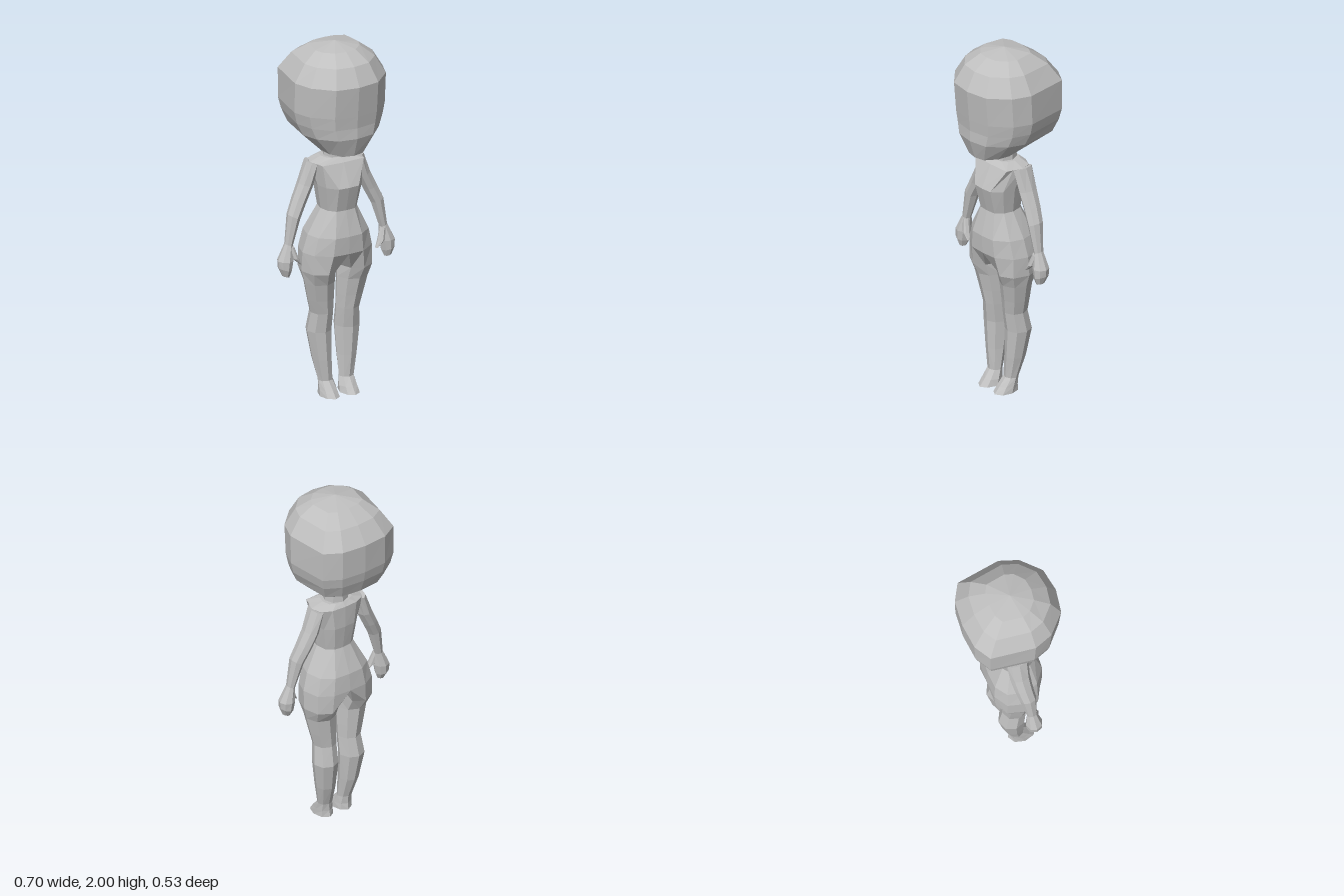
import * as THREE from 'three';

const clay = new THREE.MeshStandardMaterial({ color: 0xbfbfbf, flatShading: true });
clay.name = 'clayGrey';

// Skins a stack of equal-sized point rings and closes both ends with a fan.
function loft(name, rings, topY, bottomY) {
  const tris = [];
  const n = rings[0].length;
  for (let r = 0; r < rings.length - 1; r++) {
    for (let i = 0; i < n; i++) {
      const j = (i + 1) % n;
      const a = rings[r][i], b = rings[r][j], c = rings[r + 1][j], d = rings[r + 1][i];
      tris.push([a, d, b], [b, d, c]);
    }
  }
  const cap = (ring, y, flip) => {
    const mid = [0, 1, 2].map(k => ring.reduce((s, p) => s + p[k], 0) / n);
    if (y !== undefined) mid[1] = y;
    ring.forEach((p, i) => {
      const q = ring[(i + 1) % n];
      tris.push(flip ? [mid, q, p] : [mid, p, q]);
    });
  };
  cap(rings[0], topY, false);
  cap(rings[rings.length - 1], bottomY, true);

  // Turn all faces outward: the enclosed volume must be positive.
  let volume = 0;
  for (const [a, b, c] of tris) {
    volume += a[0] * (b[1] * c[2] - b[2] * c[1]) + a[1] * (b[2] * c[0] - b[0] * c[2])
      + a[2] * (b[0] * c[1] - b[1] * c[0]);
  }
  if (volume < 0) tris.forEach(t => t.reverse());
  const geometry = new THREE.BufferGeometry();
  geometry.setAttribute('position', new THREE.Float32BufferAttribute(tris.flat(2), 3));
  geometry.computeVertexNormals();
  const mesh = new THREE.Mesh(geometry, clay);
  mesh.name = name;
  return mesh;
}

// Completes a half ring (front centre, round the +x side, back centre).
const mirrorHalf = half => [...half, ...half.slice(1, -1).reverse().map(([x, y, z]) => [-x, y, z])];

const OCTAGON = [[-0.65, 0.72], [0, 1], [0.72, 0.7], [1, 0], [0.72, -0.7], [0, -1], [-0.65, -0.72], [-1, 0]];

// Half outline of the body: flat front panel, angled sides, broad back.
function bodyHalf([y, panel, front, width, back]) {
  const mid = (front + back) / 2, half = (front - back) / 2;
  return [
    [0, y, front], [panel, y, front - 0.005],
    [width * 0.87, y, mid + half * 0.55], [width, y, mid],
    [width * 0.87, y, mid - half * 0.65], [width * 0.5, y, back + 0.005], [0, y, back],
  ];
}

function makeHead() {
  const outline = [[0, 1], [0.48, 0.92], [0.86, 0.56], [1, 0.17], [0.87, -0.75], [0.52, -0.95], [0, -1]];
  // front height, back height, front z, back z, half width
  const rows = [
    [1.975, 1.975, 0.125, -0.115, 0.13],
    [1.92, 1.915, 0.212, -0.2, 0.205],
    [1.82, 1.82, 0.266, -0.268, 0.265],
    [1.65, 1.65, 0.25, -0.264, 0.265],
    [1.58, 1.59, 0.243, -0.252, 0.25],
    [1.52, 1.515, 0.245, -0.225, 0.22],
    [1.412, 1.435, 0.21, -0.11, 0.125],
  ];
  const rings = rows.map(([yf, yb, zf, zb, w]) => mirrorHalf(outline.map(([u, v]) => {
    const t = (v + 1) / 2;
    return [u * w, yb + (yf - yb) * t, zb + (zf - zb) * t];
  })));
  return loft('head', rings, 2.0, 1.43);
}

// height, front panel half width, front z, half width, back z
const TORSO = [
  [1.357, 0.05, 0.07, 0.085, -0.065],
  [1.335, 0.125, 0.1, 0.155, -0.085],
  [1.21, 0.06, 0.16, 0.125, -0.085],
  [1.07, 0.055, 0.125, 0.102, -0.065],
  [0.93, 0.08, 0.16, 0.175, -0.122],
  [0.83, 0.09, 0.156, 0.202, -0.132],
];

function makeLeg(side) {
  // height, inner x, outer x, front z, back z
  const rows = [
    [0.72, 0.012, 0.203, 0.13, -0.122],
    [0.65, 0.01, 0.185, 0.098, -0.08],
    [0.55, 0.01, 0.163, 0.078, -0.075],
    [0.47, 0.012, 0.143, 0.065, -0.072],
    [0.36, 0.012, 0.155, 0.052, -0.095],
    [0.2, 0.018, 0.13, 0.052, -0.066],
    [0.08, 0.02, 0.106, 0.05, -0.026],
    [0.035, 0.01, 0.11, 0.09, -0.025],
    [0, 0.006, 0.113, 0.122, -0.032],
  ];
  // The top ring is one half of the pelvis, closed along the centre line.
  const top = [...bodyHalf(TORSO[TORSO.length - 1]), [0, 0.83, 0.012]];
  const rings = [top, ...rows.map(([y, xi, xo, zf, zb]) => OCTAGON.map(([u, v]) => [
    (xi + xo) / 2 + u * (xo - xi) / 2, y, (zf + zb) / 2 + v * (zf - zb) / 2,
  ]))];
  return loft(side > 0 ? 'leftLeg' : 'rightLeg', rings.map(r => r.map(([x, y, z]) => [x * side, y, z])));
}

// Limb with tilted rings: outer x, outer y, inner x, inner y, front z, back z
function limb(name, rows, side) {
  return loft(name, rows.map(([xo, yo, xi, yi, zf, zb]) => OCTAGON.map(([u, v]) => {
    const t = (u + 1) / 2;
    return [side * (xi + (xo - xi) * t), yi + (yo - yi) * t, (zf + zb) / 2 + v * (zf - zb) / 2];
  })));
}

const ARM = [
  [0.165, 1.338, 0.105, 1.325, 0.055, -0.07],
  [0.212, 1.22, 0.135, 1.2, 0.045, -0.065],
  [0.25, 1.14, 0.178, 1.11, 0.045, -0.055],
  [0.286, 1.06, 0.218, 1.03, 0.05, -0.04],
  [0.308, 0.9, 0.265, 0.885, 0.04, -0.015],
];
const HAND = [
  [0.308, 0.9, 0.265, 0.885, 0.04, -0.015],
  [0.352, 0.81, 0.262, 0.81, 0.062, -0.03],
  [0.349, 0.77, 0.274, 0.75, 0.06, -0.025],
  [0.33, 0.725, 0.29, 0.715, 0.045, 0],
];
const THUMB = [
  [0.295, 0.88, 0.262, 0.885, 0.045, 0.005],
  [0.28, 0.82, 0.24, 0.815, 0.062, 0.015],
  [0.24, 0.785, 0.225, 0.78, 0.058, 0.03],
];

export function createModel() {
  const model = new THREE.Group();
  model.name = 'figure';
  model.add(makeHead());

  const neck = new THREE.Mesh(new THREE.CylinderGeometry(0.063, 0.07, 0.13, 8), clay);
  neck.name = 'neck';
  neck.position.set(0, 1.4, 0.005);
  model.add(neck);

  model.add(loft('torso', TORSO.map(row => mirrorHalf(bodyHalf(row)))));

  for (const side of [1, -1]) {
    const label = side > 0 ? 'left' : 'right';
    model.add(makeLeg(side));
    model.add(limb(label + 'Arm', ARM, side));
    model.add(limb(label + 'Hand', HAND, side));
    model.add(limb(label + 'Thumb', THUMB, side));
  }
  return model;
}
